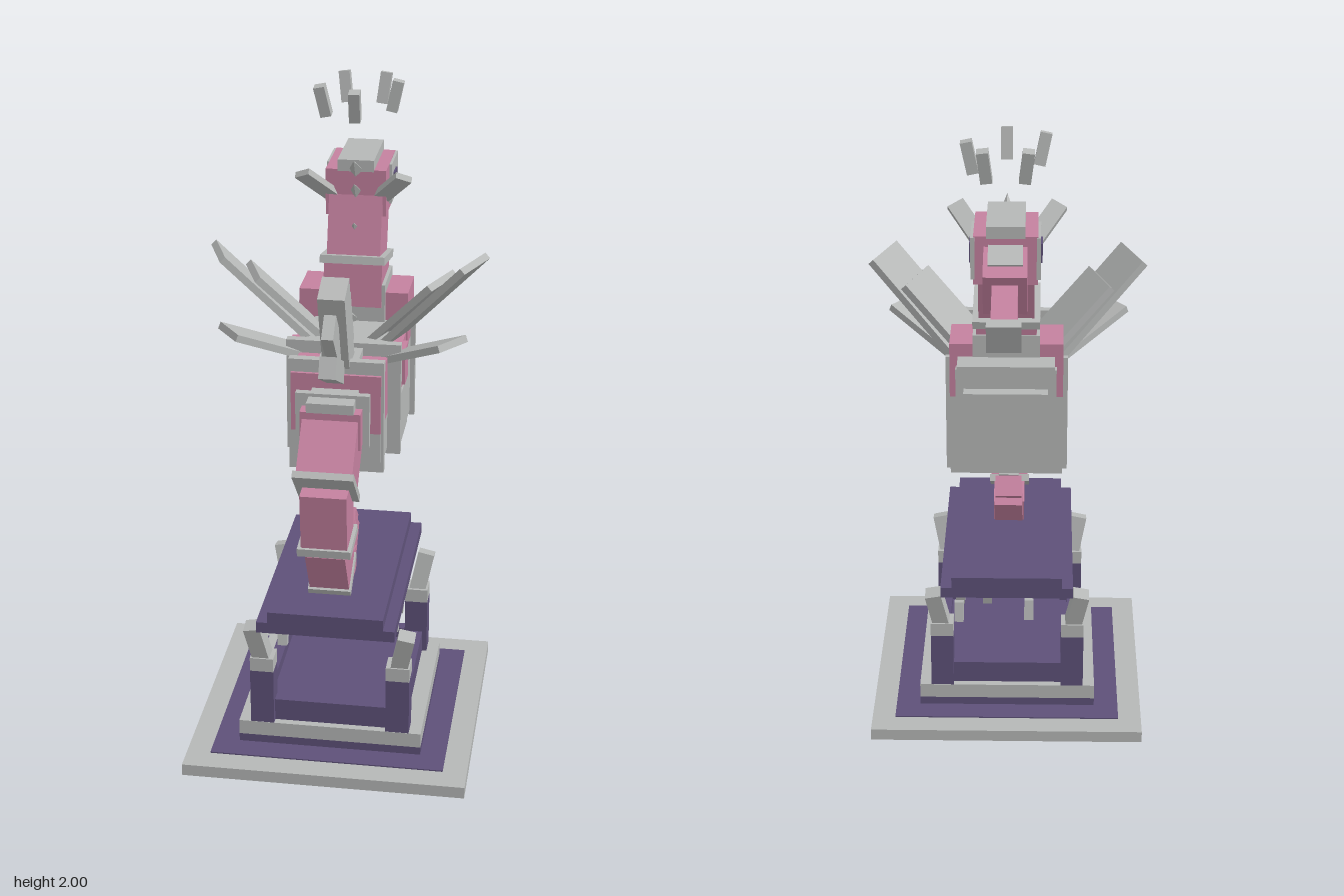
import * as THREE from 'three';

const make = (name, hex) => {
  const m = new THREE.MeshStandardMaterial({ color: hex });
  m.name = name;
  return m;
};

export function createModel() {
  const grey = make('stone grey', 0xb6b8b7);
  const pink = make('coral pink', 0xc4819f);
  const purple = make('deep purple', 0x5e5179);
  const model = new THREE.Group();
  model.name = 'seahorseStatue';

  const group = (name) => {
    const g = new THREE.Group();
    g.name = name;
    model.add(g);
    return g;
  };
  const add = (parent, name, mat, w, h, d, x, y, z) => {
    const m = new THREE.Mesh(new THREE.BoxGeometry(w, h, d), mat);
    m.name = name;
    m.position.set(x, y, z);
    parent.add(m);
    return m;
  };
  // Box centred on x = 0, given half width and y and z ranges
  const block = (parent, name, mat, half, y0, y1, z0, z1) =>
    add(parent, name, mat, half * 2, y1 - y0, z1 - z0, 0, (y0 + y1) / 2, (z0 + z1) / 2);
  // Tilted box between two [z, y] points on the centre plane
  const seg = (parent, name, mat, a, b, thick, width) => {
    const dz = b[0] - a[0], dy = b[1] - a[1];
    const m = add(parent, name, mat, width, Math.hypot(dz, dy), thick, 0, (a[1] + b[1]) / 2, (a[0] + b[0]) / 2);
    m.rotation.x = Math.atan2(dz, dy);
    return m;
  };
  // Flat plate from a root corner to a tip corner, widened along a chord
  const plate = (parent, name, mat, side, root, tip, chord, thick, lift = 0) => {
    const v = (p) => new THREE.Vector3(p[0] * side, p[1], p[2]);
    const r = v(root), span = v(tip).sub(r), c = v(chord);
    const X = span.clone().normalize();
    const Y = c.clone().cross(X).normalize();
    const Z = X.clone().cross(Y);
    const up = Y.y < 0 ? -1 : 1;
    const m = add(parent, name, mat, span.length(), thick, c.length(), 0, 0, 0);
    m.quaternion.setFromRotationMatrix(new THREE.Matrix4().makeBasis(X, Y, Z));
    m.position.copy(r).addScaledVector(span, 0.5).addScaledVector(c, 0.5).addScaledVector(Y, up * lift);
  };

  // Stepped base
  const base = group('base'), C = 0.182;
  block(base, 'groundPlate', grey, 0.437, 0.002, 0.04, C - 0.438, C + 0.438);
  block(base, 'groundInset', purple, 0.363, 0, 0.044, C - 0.362, C + 0.362);
  block(base, 'lowerStep', purple, 0.285, 0.04, 0.07, C - 0.285, C + 0.285);
  block(base, 'upperStep', grey, 0.285, 0.07, 0.118, C - 0.285, C + 0.285);
  block(base, 'innerFloor', purple, 0.2, 0.118, 0.155, C - 0.24, C + 0.24);
  for (const s of [-1, 1]) {
    add(base, 'sideRail', purple, 0.035, 0.072, 0.46, s * 0.215, 0.154, C);
    add(base, 'endRail', purple, 0.37, 0.072, 0.035, 0, 0.154, C + s * 0.245);
    // Corner posts with broken, outward-leaning tops
    for (const t of [-1, 1]) {
      add(base, 'post', purple, 0.073, 0.182, 0.068, s * 0.211, 0.209, C + t * 0.25);
      add(base, 'postCap', grey, 0.073, 0.045, 0.068, s * 0.211, 0.3225, C + t * 0.25);
      add(base, 'postStub', grey, 0.052, 0.13, 0.052, s * 0.225, 0.395, C + t * 0.262)
        .rotation.set(t * 0.2, 0, -s * 0.2);
    }
  }

  // Loose fragments floating beneath the slab
  const shards = [[0.16, 0.325, 0.14], [0.16, 0.325, 0.02], [0.07, 0.325, 0.14],
    [-0.16, 0.38, 0.245], [-0.16, 0.38, 0.365], [-0.07, 0.38, -0.06]];
  shards.forEach(([x, y, z], i) => {
    add(base, 'fragment', grey, 0.03, 0.066, 0.03, x, y, z).rotation.x = i % 2 ? 0.2 : -0.2;
  });

  // Floating slab
  const slab = group('slab');
  block(slab, 'slabLower', purple, 0.21, 0.485, 0.52, -0.175, 0.545);
  block(slab, 'slabUpper', purple, 0.175, 0.52, 0.556, -0.175, 0.545);

  // Curled tail
  const tail = group('tail');
  block(tail, 'tailRoot', pink, 0.09, 1.055, 1.17, 0.29, 0.43);
  block(tail, 'tailRootCap', grey, 0.07, 1.17, 1.2, 0.3, 0.435);
  block(tail, 'tailRootRing', grey, 0.11, 1.045, 1.21, 0.362, 0.385);
  const path = [[0.36, 1.115], [0.502, 0.97], [0.483, 0.78], [0.39, 0.618], [0.225, 0.588]];
  const thick = [0.145, 0.135, 0.125, 0.085], wide = [0.166, 0.138, 0.12, 0.1];
  for (let i = 0; i < 4; i++) seg(tail, 'tailSegment', pink, path[i], path[i + 1], thick[i], wide[i]);
  seg(tail, 'tailRing', grey, [0.497, 0.977], [0.512, 0.962], 0.185, 0.18);
  seg(tail, 'tailRing', grey, [0.486, 0.795], [0.483, 0.77], 0.15, 0.16);
  seg(tail, 'tailRing', grey, [0.4, 0.635], [0.388, 0.615], 0.14, 0.13);
  seg(tail, 'tailCurl', pink, [0.245, 0.59], [0.158, 0.69], 0.085, 0.09);
  seg(tail, 'tailCurlEnd', pink, [0.16, 0.665], [0.21, 0.715], 0.08, 0.085);
  seg(tail, 'tailTip', grey, [0.205, 0.725], [0.25, 0.775], 0.06, 0.065);

  // Body: pink back over grey belly, with raised ribs
  const body = group('body');
  block(body, 'rearBack', pink, 0.135, 1.06, 1.245, 0.13, 0.318);
  block(body, 'rearBelly', grey, 0.135, 0.945, 1.06, 0.13, 0.318);
  block(body, 'midBack', pink, 0.165, 1.1, 1.245, -0.06, 0.145);
  block(body, 'midBelly', grey, 0.17, 0.935, 1.1, -0.06, 0.145);
  block(body, 'bellyKeel', grey, 0.09, 0.9, 0.94, -0.06, 0.165);
  block(body, 'shoulders', pink, 0.17, 1.2, 1.37, -0.215, -0.055);
  block(body, 'breast', grey, 0.17, 0.945, 1.2, -0.215, -0.055);
  block(body, 'rearRib', grey, 0.143, 0.93, 1.285, 0.28, 0.308);
  block(body, 'midRib', grey, 0.175, 0.925, 1.285, 0.132, 0.16);
  block(body, 'frontRib', grey, 0.185, 0.93, 1.3, -0.15, -0.13);
  block(body, 'chest', grey, 0.145, 1.015, 1.33, -0.295, -0.21);
  block(body, 'chestRib', grey, 0.15, 1.0, 1.315, -0.28, -0.255);
  block(body, 'chestPlate', grey, 0.125, 1.05, 1.26, -0.335, -0.29);
  block(body, 'backPlate', grey, 0.12, 1.24, 1.28, -0.06, 0.135);
  block(body, 'backStrip', grey, 0.06, 1.24, 1.27, 0.135, 0.3);
  block(body, 'neckCollar', grey, 0.1, 1.25, 1.4, -0.22, -0.035);

  // Fan of fins along the back
  seg(body, 'backFin', grey, [0.14, 1.24], [0.225, 1.45], 0.065, 0.055);
  seg(body, 'backFin', grey, [0.25, 1.25], [0.355, 1.53], 0.1, 0.08);
  seg(body, 'backFin', grey, [0.27, 1.25], [0.445, 1.445], 0.08, 0.035);
  seg(body, 'backFin', grey, [0.29, 1.24], [0.47, 1.33], 0.065, 0.05);

  // Layered wings
  const wings = group('wings');
  for (const s of [-1, 1]) {
    add(wings, 'wingSocket', pink, 0.04, 0.115, 0.075, s * 0.16, 1.185, 0.052);
    plate(wings, 'upperWing', grey, s, [0.15, 1.24, -0.06], [0.42, 1.54, 0.03], [-0.065, 0, 0.165], 0.022);
    plate(wings, 'upperWingLayer', grey, s, [0.13, 1.235, -0.062], [0.335, 1.455, 0.005], [-0.065, 0, 0.165], 0.022, 0.022);
    plate(wings, 'lowerWing', grey, s, [0.14, 1.2, 0.015], [0.375, 1.33, 0.185], [-0.075, 0, 0.1], 0.022);
  }

  // Neck
  const neck = group('neck');
  seg(neck, 'lowerNeck', pink, [-0.115, 1.32], [-0.13, 1.46], 0.18, 0.18);
  seg(neck, 'neckRing', grey, [-0.127, 1.448], [-0.132, 1.472], 0.22, 0.2);
  seg(neck, 'upperNeck', pink, [-0.13, 1.46], [-0.195, 1.68], 0.17, 0.165);

  // Head with snout, eyes and ears
  const head = group('head');
  block(head, 'skull', pink, 0.093, 1.6, 1.745, -0.325, -0.102);
  block(head, 'headCrest', grey, 0.056, 1.74, 1.776, -0.33, -0.1);
  seg(head, 'snoutBase', pink, [-0.3, 1.652], [-0.43, 1.605], 0.135, 0.126);
  seg(head, 'snoutBridge', grey, [-0.32, 1.712], [-0.405, 1.681], 0.02, 0.1);
  seg(head, 'snout', pink, [-0.42, 1.608], [-0.585, 1.551], 0.08, 0.074);
  seg(head, 'snoutTip', grey, [-0.577, 1.554], [-0.607, 1.543], 0.095, 0.098);
  for (const s of [-1, 1]) {
    add(head, 'eyePanel', grey, 0.012, 0.125, 0.15, s * 0.095, 1.68, -0.255);
    add(head, 'eye', purple, 0.006, 0.058, 0.062, s * 0.103, 1.678, -0.244);
    plate(head, 'ear', grey, s, [0.085, 1.64, -0.14], [0.165, 1.73, -0.055], [-0.02, 0.035, 0.035], 0.02);
  }

  // Small spikes down the back of the head and neck
  for (const [y, z] of [[1.765, -0.08], [1.69, -0.09], [1.57, -0.08], [1.3, -0.02]]) {
    const spike = new THREE.Mesh(new THREE.ConeGeometry(0.022, 0.07, 4).toNonIndexed(), grey);
    spike.geometry.computeVertexNormals();
    spike.name = 'spike';
    spike.position.set(0, y, z);
    spike.rotation.x = 0.9;
    head.add(spike);
  }

  // Ring of floating crown pieces
  const crown = group('crown');
  for (const [x, z] of [[0, -0.08], [-0.105, -0.135], [0.105, -0.22], [-0.06, -0.31], [0.06, -0.31]]) {
    add(crown, 'crownPiece', grey, 0.034, 0.096, 0.034, x, 1.948, z).rotation.set((z + 0.21) * 1.8, 0, -x * 2);
  }
  return model;
}
